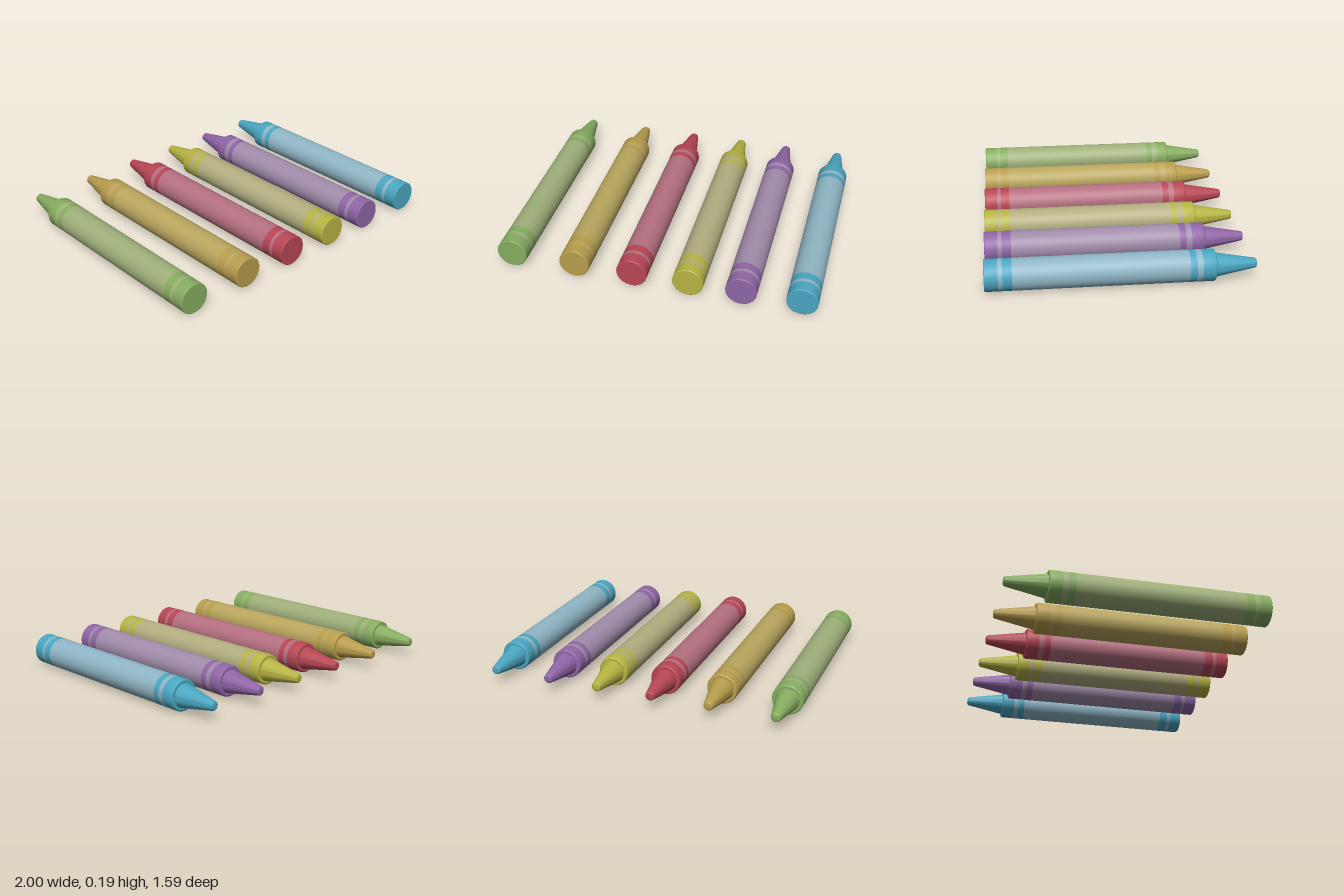
import * as THREE from 'three';
import { toCreasedNormals } from 'three/addons/utils/BufferGeometryUtils.js';

const R = 0.095; // barrel radius
const SIDES = 48;

// Surface of revolution from [radius, distance towards the tip] pairs
function lathe(name, profile, material) {
  const points = profile.map(([r, y]) => new THREE.Vector2(r, y));
  const geometry = toCreasedNormals(new THREE.LatheGeometry(points, SIDES), 0.5);
  const mesh = new THREE.Mesh(geometry, material);
  mesh.name = name;
  return mesh;
}

function createCrayon(name, x, waxColor, paperColor) {
  const crayon = new THREE.Group();
  crayon.name = name;
  const wax = new THREE.MeshStandardMaterial({ color: waxColor });
  const paper = new THREE.MeshStandardMaterial({ color: paperColor });

  // Flat rear end with a slightly eased edge
  crayon.add(lathe('rearEnd', [[0, -0.795], [R - 0.004, -0.795], [R, -0.791], [R, -0.715]], wax));

  // Alternating printed bands along the barrel
  const bands = [
    ['rearStripe', -0.715, -0.69, paper],
    ['rearBand', -0.69, -0.635, wax],
    ['wrapper', -0.635, 0.39, paper],
    ['frontBand', 0.39, 0.43, wax],
    ['frontStripe', 0.43, 0.465, paper],
  ];
  for (const [label, from, to, material] of bands) {
    crayon.add(lathe(label, [[R, from], [R, to]], material));
  }

  // Shoulder collar, then the tapered tip with a rounded nose
  crayon.add(lathe('shoulder', [[R, 0.465], [R, 0.535], [R - 0.002, 0.541], [R - 0.008, 0.545], [0.072, 0.545]], wax));
  crayon.add(lathe('tip', [
    [0.072, 0.545], [0.03, 0.78], [0.028, 0.788], [0.023, 0.793], [0.016, 0.795], [0, 0.795],
  ], wax));

  // Lay it down with the tip pointing back
  crayon.rotation.x = -Math.PI / 2;
  crayon.position.set(x, R, 0);
  return crayon;
}

export function createModel() {
  const model = new THREE.Group();
  model.name = 'crayons';
  const crayons = [
    ['greenCrayon', -0.905, 0x86ad60, 0x9fb07a],
    ['ochreCrayon', -0.5, 0xb99d4c, 0xb9a65e],
    ['redCrayon', -0.135, 0xb74654, 0xb57080],
    ['yellowCrayon', 0.215, 0xb6b442, 0xb2ae80],
    ['purpleCrayon', 0.54, 0x8f65a6, 0xa18cab],
    ['blueCrayon', 0.905, 0x4aa6c2, 0x90b6c6],
  ];
  for (const spec of crayons) model.add(createCrayon(...spec));
  return model;
}
